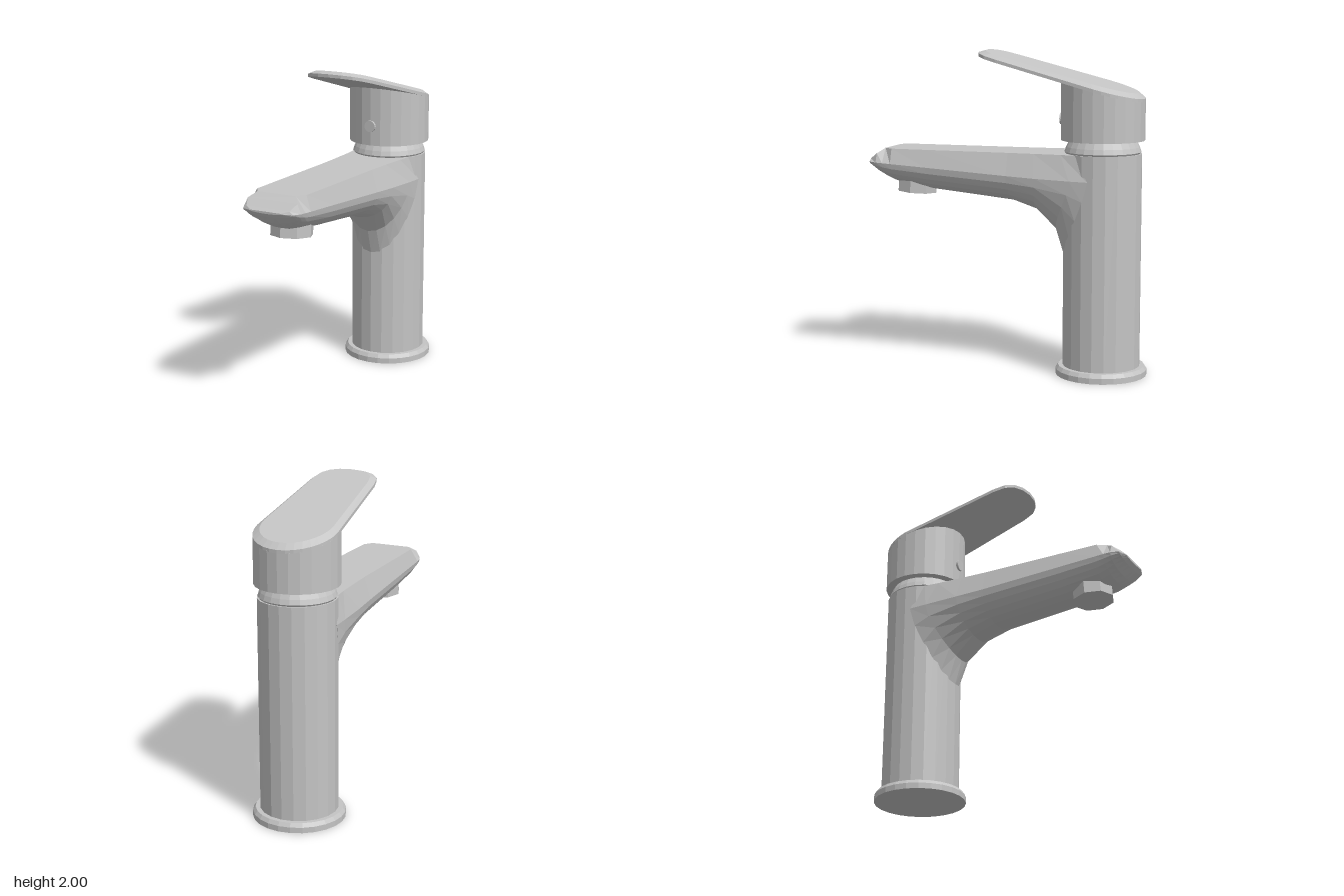
import * as THREE from 'three';

const AXIS = -0.605; // z of the upright body
const RADIUS = 0.24;

// Skin closed rings; points run counter-clockwise seen from the first ring's end.
function loft(rings) {
  const n = rings[0].length;
  const pos = rings.flat(2);
  const index = [];
  for (let r = 0; r < rings.length - 1; r++) {
    for (let j = 0; j < n; j++) {
      const a = r * n + j, b = r * n + (j + 1) % n;
      index.push(a, a + n, b, b, a + n, b + n);
    }
  }
  const last = (rings.length - 1) * n;
  for (let j = 1; j < n - 1; j++) {
    index.push(0, j, j + 1);
    index.push(last, last + j + 1, last + j);
  }
  const g = new THREE.BufferGeometry();
  g.setAttribute('position', new THREE.Float32BufferAttribute(pos, 3));
  g.setIndex(index);
  g.computeVertexNormals();
  return g;
}

// Underside plane of the sloping lever
const leverY = (z) => 1.97 + 0.264 * (z - 0.18);

function spoutGeometry() {
  // z, top half width, top y, ridge half width, bottom y, wrap round the body
  const sections = [
    [0.89, 0.10, 1.298, 0.11, 1.285, 0],
    [0.87, 0.145, 1.312, 0.17, 1.262, 0],
    [0.82, 0.168, 1.348, 0.192, 1.215, 0],
    [0.775, 0.13, 1.38, 0.195, 1.185, 0],
    [0.72, 0.168, 1.38, 0.197, 1.16, 0],
    [0.48, 0.172, 1.38, 0.203, 1.12, 0],
    [-0.05, 0.178, 1.38, 0.218, 1.07, 0],
    [-0.20, 0.185, 1.38, 0.228, 1.02, 0.2],
    [-0.32, 0.195, 1.38, 0.235, 0.90, 0.7],
    [-0.367, 0.205, 1.38, 0.237, 0.74, 1],
  ];
  return loft(sections.map(([z, tw, ty, hw, by, wrap]) => {
    const ridge = 1.295 - 0.057 * (0.89 - z);
    const back = (x) => z - wrap * (RADIUS - Math.sqrt(RADIUS * RADIUS - x * x));
    const ring = [[tw, ty, back(tw)], [-tw, ty, back(tw)]];
    for (let i = 0; i <= 12; i++) {
      const a = Math.PI * (1 + i / 12);
      const x = hw * Math.cos(a);
      ring.push([x, ridge + (ridge - by) * Math.sin(a), back(x)]);
    }
    return ring;
  }));
}

function leverGeometry() {
  // Right side of the rounded front, then the back arc, then the mirrored front
  const front = [[0, 0.178], [0.08, 0.17], [0.145, 0.145], [0.19, 0.1], [0.21, 0.02]];
  const outline = [...front];
  for (let i = 0; i <= 16; i++) {
    const a = Math.PI * i / 16;
    outline.push([0.257 * Math.cos(a), AXIS - 0.257 * Math.sin(a)]);
  }
  outline.push(...front.slice(1).reverse().map(([x, z]) => [-x, z]));
  const layer = (sx, sz, lift) => outline.map(([x, z]) => {
    const zz = (z + 0.38) * sz - 0.38;
    return [x * sx, leverY(zz) + lift, zz];
  });
  return loft([layer(0.86, 0.92, 0.044), layer(1, 1, 0.02), layer(1, 1, 0)]);
}

// Upright cylinder whose top follows the lever's slope
function handleGeometry() {
  const g = new THREE.CylinderGeometry(0.257, 0.257, 1, 24);
  const p = g.attributes.position;
  for (let i = 0; i < p.count; i++) {
    p.setY(i, p.getY(i) > 0 ? leverY(p.getZ(i) + AXIS) + 0.003 : 1.46);
  }
  g.computeVertexNormals();
  return g;
}

export function createModel() {
  const group = new THREE.Group();
  const metal = new THREE.MeshStandardMaterial({ color: 0xc4c4c4, flatShading: true });
  metal.name = 'brushed metal';

  const add = (name, geometry, x = 0, y = 0, z = 0) => {
    const mesh = new THREE.Mesh(geometry, metal);
    mesh.name = name;
    mesh.position.set(x, y, z);
    group.add(mesh);
    return mesh;
  };
  const turned = (points, sides) =>
    new THREE.LatheGeometry(points.map(([r, y]) => new THREE.Vector2(r, y)), sides);

  // Upright column
  add('baseFlange', turned([[0, 0], [0.284, 0], [0.284, 0.035], [0.268, 0.058], [0.23, 0.058]], 24), 0, 0, AXIS);
  add('body', new THREE.CylinderGeometry(RADIUS, RADIUS, 1.33, 20), 0, 0.715, AXIS);
  add('neck', turned([[0.225, 1.375], [0.235, 1.39], [0.225, 1.42], [0.2, 1.47]], 24), 0, 0, AXIS);

  // Spout and its outlet
  add('spout', spoutGeometry());
  const outlet = add('outlet', new THREE.CylinderGeometry(0.13, 0.13, 0.1, 8), 0, 1.148, 0.61);
  outlet.rotation.x = -0.07;

  // Control lever
  add('handleBody', handleGeometry(), 0, 0, AXIS);
  add('lever', leverGeometry());
  const button = add('handleButton', new THREE.CylinderGeometry(0.037, 0.037, 0.03, 16), 0, 1.585, -0.352);
  button.rotation.x = Math.PI / 2;

  return group;
}
